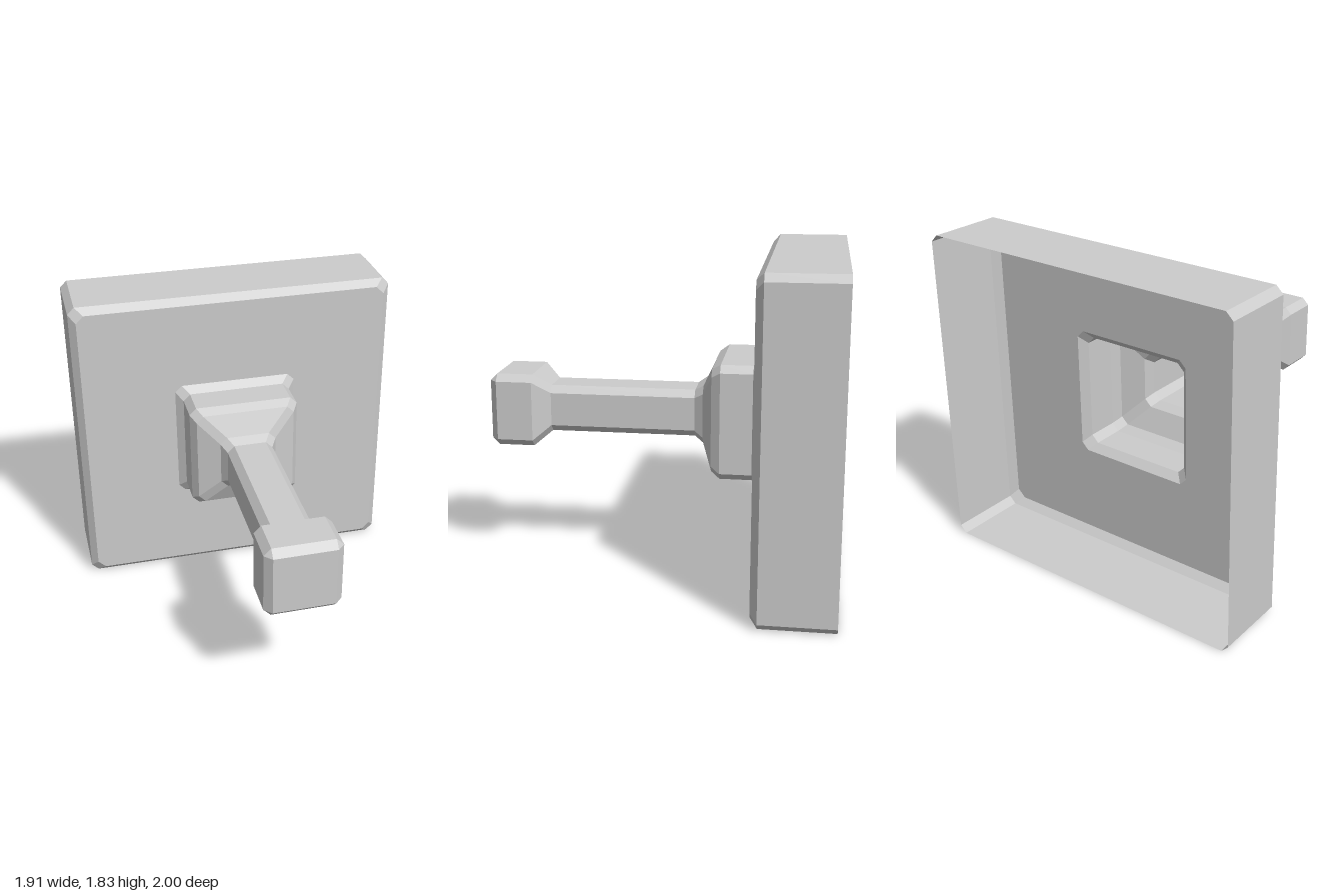
import * as THREE from 'three';

const CENTRE_Y = 0.915;

// Rectangle with cut corners, counter-clockwise seen from +z
function ring([hx, hy, cut, z]) {
  const x = hx - cut, y = hy - cut;
  return [[hx, -y], [hx, y], [x, hy], [-x, hy], [-hx, y], [-hx, -y], [-x, -hy], [x, -hy]]
    .map(([px, py]) => new THREE.Vector3(px, py + CENTRE_Y, z));
}

// Flat-shaded skin through a row of sections, optionally closed at the front
function loft(name, sections, material, capped = false) {
  const rings = sections.map(ring);
  const pos = [];
  const tri = (a, b, c) => {
    if (new THREE.Triangle(a, b, c).getArea() < 1e-8) return;
    for (const v of [a, b, c]) pos.push(v.x, v.y, v.z);
  };
  for (let r = 0; r < rings.length - 1; r++) {
    for (let i = 0; i < 8; i++) {
      const j = (i + 1) % 8;
      tri(rings[r][i], rings[r][j], rings[r + 1][j]);
      tri(rings[r][i], rings[r + 1][j], rings[r + 1][i]);
    }
  }
  if (capped) {
    const end = rings[rings.length - 1];
    for (let i = 1; i < 7; i++) tri(end[0], end[i], end[i + 1]);
  }
  const geometry = new THREE.BufferGeometry();
  geometry.setAttribute('position', new THREE.Float32BufferAttribute(pos, 3));
  geometry.computeVertexNormals();
  const mesh = new THREE.Mesh(geometry, material);
  mesh.name = name;
  return mesh;
}

export function createModel() {
  const group = new THREE.Group();
  group.name = 'wallPeg';
  const material = new THREE.MeshStandardMaterial({
    color: 0xcccccc, flatShading: true, side: THREE.DoubleSide,
  });

  // Sections: half width, half height, corner cut, z
  const square = (half, cut, z) => [half, half, cut, z];
  const opening = square(0.367, 0.04, -0.55);
  const neck = square(0.135, 0.04, -0.17);
  const shaftEnd = square(0.135, 0.04, 0.66);

  group.add(
    // Hollow back plate, open behind, with a hole into the collar
    loft('backPlate', [
      [0.955, 0.915, 0.04, -1],
      [0.955, 0.915, 0.04, -0.59],
      [0.915, 0.875, 0.045, -0.55],
      opening,
    ], material),
    // Stepped hollow collar
    loft('collar', [
      opening,
      square(0.325, 0.04, -0.51),
      square(0.325, 0.04, -0.33),
      square(0.293, 0.04, -0.28),
      square(0.166, 0.04, -0.22),
      neck,
    ], material),
    loft('shaft', [neck, shaftEnd], material),
    // Chamfered end knob
    loft('knob', [
      shaftEnd,
      square(0.21, 0.04, 0.755),
      square(0.21, 0.04, 0.96),
      square(0.17, 0, 1),
    ], material, true),
  );
  return group;
}
